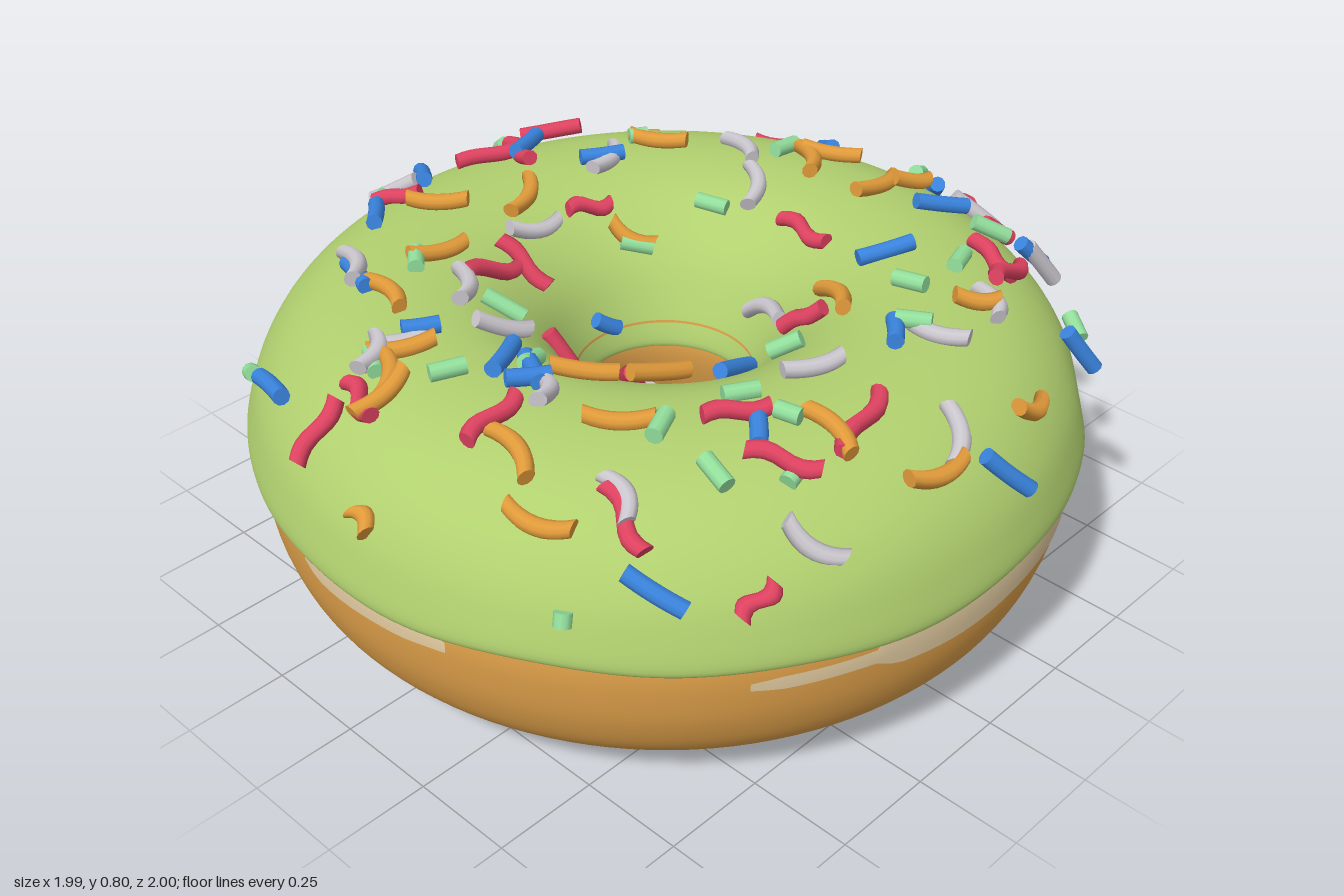
import * as THREE from 'three';
import { mergeVertices } from 'three/addons/utils/BufferGeometryUtils.js';

const RAD = Math.PI / 180;
const material = (name, color, side = THREE.FrontSide) => {
  const m = new THREE.MeshStandardMaterial({ color, side });
  m.name = name;
  return m;
};
const spline = (points, n) =>
  new THREE.SplineCurve(points.map(([r, y]) => new THREE.Vector2(r, y))).getPoints(n);

// Cross-sections as [radius, height], running counter-clockwise
const DOUGH = [[.215, .47], [.2, .39], [.215, .3], [.25, .2], [.31, .1], [.4, .03], [.5, .003], [.64, 0],
  [.75, .022], [.85, .075], [.92, .15], [.957, .24], [.971, .33], [.97, .4], [.955, .47]];
const ICING = [[.95, .435], [.965, .412], [.985, .405], [.997, .425], [.985, .48], [.955, .56], [.9, .635],
  [.82, .695], [.72, .73], [.6, .74], [.48, .725], [.38, .68], [.29, .6], [.23, .5], [.2, .425], [.205, .4], [.23, .4]];
const icingProfile = spline(ICING, 64);
const doughProfile = spline(DOUGH, 64);

// Slightly oval outline and a hole that sits a little off centre
function warp(geometry, edit = p => p) {
  const pos = geometry.attributes.position;
  const p = new THREE.Vector3();
  for (let i = 0; i < pos.count; i++) {
    p.fromBufferAttribute(pos, i);
    const phi = Math.atan2(p.x, p.z);
    edit(p, phi);
    const r = Math.hypot(p.x, p.z);
    const k = 1 + .013 * r * Math.cos(2 * (phi - 135 * RAD));
    pos.setXYZ(i, p.x * k + .015 * (1 - r), p.y, p.z * k - .02 * (1 - r));
  }
  geometry.deleteAttribute('uv');
  geometry.deleteAttribute('normal');
  const merged = mergeVertices(geometry, 1e-5);
  merged.computeVertexNormals();
  return merged;
}

// Wavy lower lip of the icing with one drip
function lipWave(p, phi) {
  if (Math.hypot(p.x, p.z) < .6) return;
  const weight = THREE.MathUtils.clamp((.6 - p.y) / .18, 0, 1);
  const drip = .045 * Math.exp(-(((phi - 39 * RAD) / (6 * RAD)) ** 2));
  p.y += weight * (.006 * Math.sin(5 * phi) + .004 * Math.sin(11 * phi + 1) - drip);
}

// Height on the icing or radius on the dough, by linear search along a profile
function icingHeight(r) {
  const c = THREE.MathUtils.clamp(r, .205, .99);
  for (let i = 12; i < icingProfile.length - 1; i++) {
    const a = icingProfile[i], b = icingProfile[i + 1];
    if (a.x >= c && b.x <= c && a.x > b.x) return a.y + (b.y - a.y) * (a.x - c) / (a.x - b.x);
  }
  return .5;
}
function doughRadius(y) {
  for (let i = 32; i < doughProfile.length - 1; i++) {
    const a = doughProfile[i], b = doughProfile[i + 1];
    if (a.y <= y && b.y >= y) return a.x + (b.x - a.x) * (y - a.y) / (b.y - a.y);
  }
  return .958;
}

// Pale band on the dough; keys are [degrees around, bottom, top]
function paleBand(keys) {
  const start = keys[0][0], end = keys[keys.length - 1][0], rows = 6, cols = Math.round((end - start) / 2);
  const position = [], index = [];
  for (let i = 0; i <= cols; i++) {
    const deg = start + (end - start) * i / cols;
    const k = Math.max(1, keys.findIndex(key => key[0] >= deg));
    const [a, b] = [keys[k - 1], keys[k]];
    const t = (deg - a[0]) / (b[0] - a[0]);
    const low = a[1] + (b[1] - a[1]) * t + .004 * Math.sin(deg * .23), high = a[2] + (b[2] - a[2]) * t;
    for (let j = 0; j <= rows; j++) {
      const y = low + (high - low) * j / rows, r = doughRadius(y) + .004;
      position.push(r * Math.sin(deg * RAD), y, r * Math.cos(deg * RAD));
      const n = i * (rows + 1) + j;
      if (i < cols && j < rows) index.push(n, n + rows + 1, n + 1, n + rows + 2, n + 1, n + rows + 1);
    }
  }
  const g = new THREE.BufferGeometry();
  g.setAttribute('position', new THREE.Float32BufferAttribute(position, 3));
  g.setIndex(index);
  return warp(g);
}

// Sprinkles as [x, z, angle in degrees seen from above, optional length scale]
const ORANGE = [[.17, -.93, -45], [.6, -.71, -50], [-.17, -.61, -50], [-.3, -.45, -10], [.02, -.51, 30],
  [.44, -.46, -60], [-.51, -.38, 80], [-.72, -.12, 45], [-.76, -.08, 0], [-.63, -.18, -30], [.64, -.12, 50],
  [.7, -.1, -60], [.67, .08, 0], [-.41, .15, -45], [-.29, .27, -15], [-.5, .35, -50], [.24, .32, 60],
  [-.71, .27, 75], [-.77, .4, -70], [-.22, .68, 80], [-.11, .86, -10], [.24, .85, 0, .6], [.39, .59, -40, .7],
  [.74, .13, -20, .7], [-.94, .06, 80, .4], [.18, -.3, -60, .8]];
const BLUE = [[-.27, -.72, 50], [-.06, -.79, 55], [.2, -.69, 25], [.72, -.65, -15], [.82, -.56, -10, .7],
  [-.82, -.38, 75], [-.5, -.5, 70], [.29, -.51, -30, .8], [-.52, .02, 30], [-.49, .08, 60], [-.53, .11, -30, .7],
  [-.57, -.19, -30, .6], [.82, -.21, 55, .8], [.92, .06, 45], [-.02, .26, 10], [.43, .3, -28], [.7, .25, -30],
  [-.69, .64, -65], [-.32, .57, 45, .8], [.15, .55, 40, .7], [.55, .75, -40, .9], [.06, .92, -40],
  [.02, -.24, -20, .5], [.77, .46, -25, .7]];
const RED = [[.18, -.7, 70], [.1, -.73, -25], [.34, -.75, -45], [-.18, -.75, -55, .8], [-.14, -.35, -70],
  [-.26, -.33, 0], [-.22, -.12, -60], [.84, -.38, -60], [.13, -.4, -20, .7], [-.87, -.17, 5], [-.79, -.12, 75, .8],
  [-.68, .17, 10], [.42, .06, 85], [-.24, .12, 50, .7], [.16, .3, -70, .8], [-.66, .53, 80], [-.32, .51, -30, .9],
  [-.36, .67, -55], [-.15, .7, 20, 1.3], [.58, .49, 75], [.55, .55, 10, .8], [.78, .36, -20, .6],
  [-.55, .78, -10, .6], [.92, .15, 60, .5]];
const WHITE = [[-.13, -.83, -60], [.22, -.91, 60, .7], [-.49, -.52, 60], [.3, -.5, 20, .9], [-.03, -.42, -10],
  [-.37, -.29, 50], [-.61, -.2, -25], [-.4, -.12, -20], [.46, -.14, 40], [.58, -.29, 70], [.25, .11, 75],
  [-.17, .11, 60], [.86, .24, -55], [-.07, .51, -25], [.79, .48, -25], [.42, .61, 60, .8], [-.01, .83, 45],
  [-.42, .8, -60], [.22, .61, -70], [-.64, .5, 70, .8], [-.69, -.2, 30, .8], [-.53, .16, 45, .7]];
const MINT = [[-.16, -.83, 45], [.24, -.83, 70, .6], [.32, -.95, 30, .5], [-.37, -.45, 50], [.18, -.28, -45],
  [-.34, -.2, -60, 1.3], [.37, -.2, -70], [.65, -.21, 0], [.42, -.51, -30, .6], [-.7, -.19, 60], [.02, .36, -50],
  [-.47, .44, 25], [-.46, .04, 20, .8], [-.63, -.03, -25], [.33, .45, -80], [.51, .45, 20], [.72, .38, -45, 1.2],
  [.2, .56, -60], [-.25, .46, -30], [-.25, .59, -75, .7], [-.48, .6, 80], [-.36, .7, 10, .6], [.76, .61, 60, .9],
  [.82, .08, 20, .7], [-.82, .52, 30, .4], [-.78, -.52, 70, .4]];

// A short rod bent by a rule: bend takes -1..1 along its length
function rod(length, bend) {
  const g = new THREE.CylinderGeometry(.02, .02, length, 10, 8);
  const pos = g.attributes.position;
  for (let i = 0; i < pos.count; i++) pos.setX(i, pos.getX(i) + bend(pos.getY(i) * 2 / length));
  return g;
}

function sprinkles(name, list, geometry, mat) {
  const group = new THREE.Group();
  group.name = name;
  list.forEach(([x, z, deg, scale = 1], i) => {
    // Lie in the tangent plane of the icing
    const r0 = Math.hypot(x, z);
    const cx = x - .015 * (1 - r0), cz = z + .02 * (1 - r0), r = Math.hypot(cx, cz);
    const slope = THREE.MathUtils.clamp((icingHeight(r + .012) - icingHeight(r - .012)) / .024, -2.5, 2.5);
    const ux = cx / r, uz = cz / r;
    const normal = new THREE.Vector3(-slope * ux, 1, -slope * uz).normalize();
    const dx = Math.cos(deg * RAD), dz = -Math.sin(deg * RAD);
    const along = new THREE.Vector3(dx, slope * (dx * ux + dz * uz), dz).normalize();
    const across = new THREE.Vector3().crossVectors(along, normal);
    const mesh = new THREE.Mesh(geometry, mat);
    mesh.name = 'sprinkle';
    mesh.quaternion.setFromRotationMatrix(new THREE.Matrix4().makeBasis(across, along, normal));
    mesh.position.set(x, icingHeight(r), z).addScaledVector(normal, .013 + (i % 3) * .008);
    mesh.scale.y = scale;
    group.add(mesh);
  });
  return group;
}

export function createModel() {
  const model = new THREE.Group();
  model.name = 'doughnut';
  const add = (name, geometry, mat) => {
    const mesh = new THREE.Mesh(geometry, mat);
    mesh.name = name;
    model.add(mesh);
  };

  // Ring of dough, pale band and icing
  add('dough', warp(new THREE.LatheGeometry(doughProfile, 128)), material('golden dough', 0xdd9f49));
  const cream = material('pale dough', 0xe2cba0, THREE.DoubleSide);
  add('paleBand', paleBand([[-36, .35, .365], [-32, .343, .373], [-20, .338, .378], [-17, .315, .45],
    [20, .308, .45], [100, .312, .45], [170, .318, .45], [205, .33, .45], [210, .345, .45]]), cream);
  add('paleBandShort', paleBand([[261, .37, .45], [264, .35, .45], [280, .345, .45], [287, .36, .385]]), cream);
  add('icing', warp(new THREE.LatheGeometry(icingProfile, 180), lipWave),
    material('green icing', 0xb1d06f, THREE.DoubleSide));

  // Sprinkles: one shape per colour
  const arc = h => t => h * (.5 - t * t);
  model.add(
    sprinkles('orangeSprinkles', ORANGE, rod(.15, arc(.022)), material('orange', 0xe09a3a)),
    sprinkles('blueSprinkles', BLUE, rod(.14, arc(.003)), material('blue', 0x3a84de)),
    sprinkles('redSprinkles', RED, rod(.16, t => .014 * Math.sin(t * 3)), material('red', 0xde4260)),
    sprinkles('whiteSprinkles', WHITE, rod(.14, arc(.024)), material('soft white', 0xcac6cd)),
    sprinkles('mintSprinkles', MINT, rod(.08, () => 0), material('mint', 0x93df9c)));
  return model;
}
